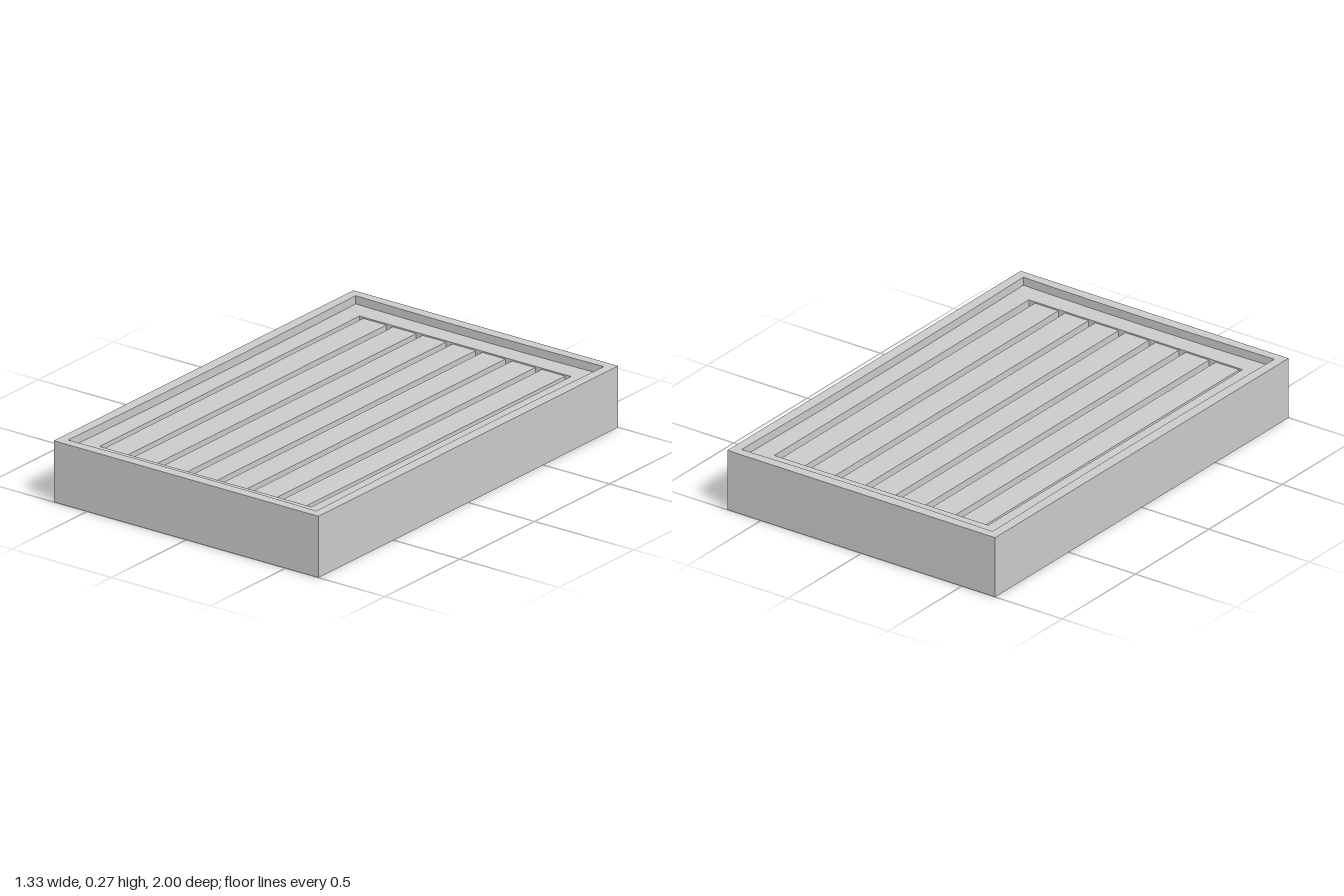
import * as THREE from 'three';

const W = 1.334, D = 2, H = 0.267;   // outer size
const BASE = 0.13, FLOOR = 0.231;    // slot bottom and recess floor heights

const material = new THREE.MeshStandardMaterial({ color: 0xcccccc, flatShading: true });

function rectPath(Type, x0, x1, z0, z1) {
  const p = new Type();
  p.moveTo(x0, z0);
  p.lineTo(x1, z0);
  p.lineTo(x1, z1);
  p.lineTo(x0, z1);
  p.closePath();
  return p;
}

// Rectangle whose sides bow slightly inward at their middles
function bowedPath(a, b, bow) {
  const p = new THREE.Path();
  p.moveTo(-a, -b);
  p.quadraticCurveTo(0, -b + 2 * bow, a, -b);
  p.quadraticCurveTo(a - 2 * bow, 0, a, b);
  p.quadraticCurveTo(0, b - 2 * bow, -a, b);
  p.quadraticCurveTo(-a + 2 * bow, 0, -a, -b);
  return p;
}

// Horizontal frame with one opening, between two heights
function frame(name, hole, y0, y1) {
  const shape = rectPath(THREE.Shape, -W / 2, W / 2, -D / 2, D / 2);
  shape.holes.push(hole);
  const geo = new THREE.ExtrudeGeometry(shape, { depth: y1 - y0, bevelEnabled: false, curveSegments: 8 });
  geo.rotateX(-Math.PI / 2);
  geo.translate(0, y0, 0);
  const mesh = new THREE.Mesh(geo, material);
  mesh.name = name;
  return mesh;
}

function box(name, w, h, d, x, y) {
  const mesh = new THREE.Mesh(new THREE.BoxGeometry(w, h, d), material);
  mesh.position.set(x, y + h / 2, 0);
  mesh.name = name;
  return mesh;
}

export function createModel() {
  const model = new THREE.Group();
  model.name = 'slattedTray';

  // Solid lower block
  model.add(box('base', W, BASE, D, 0, 0));

  // Recess floor around the slatted opening, and the raised rim
  model.add(frame('recessFloor', rectPath(THREE.Path, -0.535, 0.53, -0.867, 0.867), BASE, FLOOR));
  model.add(frame('rim', bowedPath(0.625, 0.96, 0.008), FLOOR, H));

  // Seven slats, set just below the recess floor, with narrow slots between
  const slats = new THREE.Group();
  slats.name = 'slats';
  for (let i = 0; i < 7; i++) {
    slats.add(box('slat', 0.117, FLOOR - 0.006 - BASE, 1.734, -0.459 + i * 0.15, BASE));
  }
  model.add(slats);
  return model;
}
